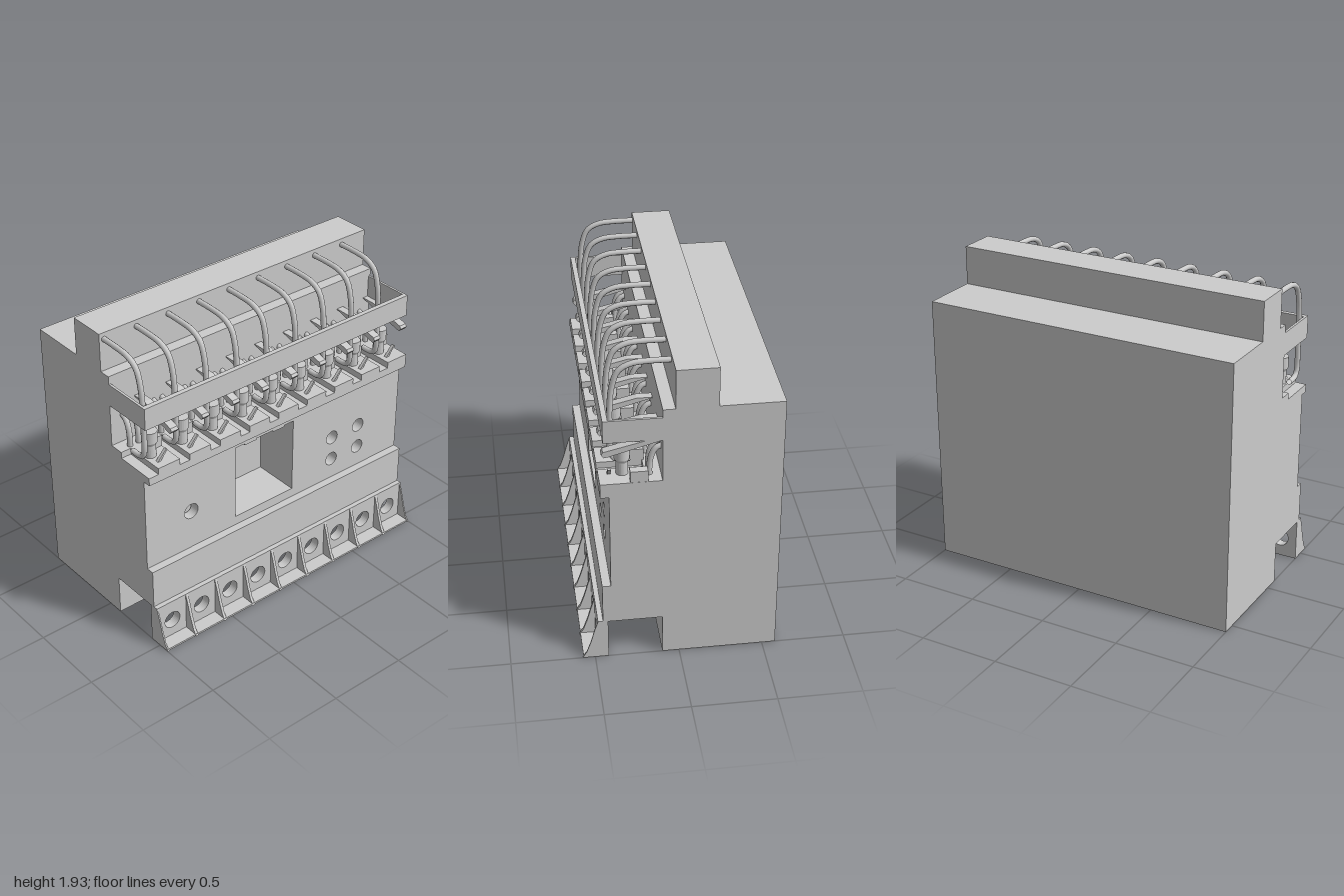
import * as THREE from 'three';

const PITCH = 0.2222, COUNT = 9;

export function createModel() {
  const model = new THREE.Group();
  const mat = new THREE.MeshStandardMaterial({ color: 0xcccccc, side: THREE.DoubleSide });

  const add = (name, geo, parent = model) => {
    const m = new THREE.Mesh(geo, mat);
    m.name = name;
    parent.add(m);
    return m;
  };
  // Box given by its limits
  const box = (name, x0, x1, y0, y1, z0, z1, parent) =>
    add(name, new THREE.BoxGeometry(x1 - x0, y1 - y0, z1 - z0), parent)
      .position.set((x0 + x1) / 2, (y0 + y1) / 2, (z0 + z1) / 2);
  const poly = (pts) => new THREE.Shape(pts.map((p) => new THREE.Vector2(...p)));
  const rect = (x0, x1, y0, y1) => poly([[x0, y0], [x1, y0], [x1, y1], [x0, y1]]);
  const circle = (x, y, r) => new THREE.Path().absarc(x, y, r, 0, Math.PI * 2, true);
  const extrude = (shape, depth) =>
    new THREE.ExtrudeGeometry(shape, { depth, bevelEnabled: false, curveSegments: 20 });
  // Profile in x,y swept along z
  const sweep = (pts, z0, z1) => extrude(poly(pts), z1 - z0).translate(0, 0, z0);
  // Panel drawn in (-z, y), from x0 to x1
  const panel = (shape, x0, x1) => extrude(shape, x1 - x0).rotateY(Math.PI / 2).translate(x0, 0, 0);
  const tube = (pts, r, parent, name) => {
    const curve = new THREE.CatmullRomCurve3(pts.map(([x, y]) => new THREE.Vector3(x, y, 0)), false, 'centripetal');
    return add(name, new THREE.TubeGeometry(curve, 32, r, 10), parent);
  };

  // Stepped housing
  add('housing', sweep([[-0.58, 0.4], [0.1, 0.4], [0.1, 1.69], [0.03, 1.69], [0.03, 1.93],
    [-0.21, 1.93], [-0.21, 1.69], [-0.58, 1.69]], -1, 1));

  // Lower housing with one open chamber per pole
  const base = rect(-0.58, 0.1, -1, 1);
  for (let i = 0; i < COUNT; i++) {
    const z = (i - 4) * PITCH, h = PITCH / 2 - 0.005;
    base.holes.push(rect(-0.57, 0.09, z - h, z + h));
  }
  add('chamberedBase', extrude(base, 0.4).rotateX(-Math.PI / 2));

  // Front panel with window and round openings
  const front = rect(-1, 1, 0.26, 1.19);
  front.holes.push(rect(-0.335, 0.115, 0.58, 1.08), circle(-0.67, 0.78, 0.05));
  for (const u of [0.44, 0.66]) for (const y of [0.66, 0.82]) front.holes.push(circle(u, y, 0.045));
  add('frontPanel', panel(front, 0.1, 0.4));
  for (const z of [0.22, 0]) box('windowTab', 0.37, 0.4, 1.07, 1.08, z - 0.045, z + 0.045);
  const button = add('button', new THREE.CylinderGeometry(0.038, 0.038, 0.25, 24).rotateZ(Math.PI / 2));
  button.position.set(0.225, 0.78, 0.67);
  box('lowerLip', 0.4, 0.45, 0.26, 0.52, -1, 1);
  box('upperLip', 0.4, 0.45, 1.14, 1.19, -1, 1);

  // Terminal shelf, slotted below each lead
  box('shelfBack', 0.1, 0.19, 1.19, 1.23, -1, 1);
  for (let i = 0; i < COUNT; i++) {
    const z = (4 - i) * PITCH + 0.08;
    box('shelfSegment', 0.19, 0.45, 1.19, 1.23, i === COUNT - 1 ? -1 : z - PITCH + 0.035, z - 0.035);
  }

  // Open guard frame above the terminals
  box('guardBar', 0.4, 0.43, 1.5, 1.64, -1, 1);
  for (const s of [-1, 1]) box('guardArm', 0.1, 0.4, 1.5, 1.64, s * 0.9925 - 0.0075, s * 0.9925 + 0.0075);

  // One terminal per pole
  const screwProfile = [[0, 0], [0.035, 0], [0.035, 0.08], [0.045, 0.1], [0.045, 0.17], [0, 0.17]]
    .map((p) => new THREE.Vector2(...p));
  for (let i = 0; i < COUNT; i++) {
    const t = new THREE.Group();
    t.name = 'terminal';
    t.position.z = (4 - i) * PITCH;
    model.add(t);

    // Bent lead from the top of the housing
    tube([[0.02, 1.89], [0.15, 1.89], [0.25, 1.88], [0.32, 1.84], [0.355, 1.75], [0.37, 1.62],
      [0.372, 1.45], [0.372, 1.32], [0.355, 1.28], [0.32, 1.268], [0.26, 1.268]], 0.017, t, 'lead')
      .position.z = 0.08;

    // Paired short leads behind the screw
    for (const z of [-0.03, 0.03]) {
      tube([[0.09, 1.415], [0.125, 1.40], [0.15, 1.36], [0.163, 1.3], [0.165, 1.22]], 0.017, t, 'shortLead')
        .position.z = z;
    }

    // Stepped screw
    const screw = add('screw', new THREE.LatheGeometry(screwProfile, 24).toNonIndexed(), t);
    screw.geometry.computeVertexNormals();
    screw.position.set(0.315, 1.23, 0);

    // Clamp block and thin slanted tongue
    box('clampBlock', 0.18, 0.28, 1.23, 1.3, -0.11, -0.06, t);
    add('tongue', panel(poly([[-0.01, 1.23], [0.01, 1.23], [0.06, 1.29], [0.05, 1.295]]), 0.38, 0.4), t);

    // Spring lever with rounded nose
    add('springLever', sweep([[0.1, 1.5], [0.19, 1.5], [0.43, 1.442], [0.44, 1.425], [0.425, 1.405],
      [0.4, 1.41], [0.1, 1.495]], -0.11, -0.06), t);
  }

  // Flared lower skirt: holed back wall, ribs and floor
  const wall = rect(-1, 1, 0, 0.265);
  for (let i = 0; i < COUNT; i++) wall.holes.push(circle((i - 4) * PITCH, 0.125, 0.056));
  add('skirtWall', panel(wall, 0.42, 0.48));
  const rib = [[0.48, 0], [0.575, 0], [0.55, 0.04], [0.525, 0.11], [0.5, 0.2], [0.48, 0.26]];
  for (let i = 0; i <= COUNT; i++) {
    const z = (i - 4.5) * PITCH;
    add('skirtRib', sweep(rib, Math.max(-1, z - 0.009), Math.min(1, z + 0.009)));
  }
  box('skirtFloor', 0.48, 0.57, 0, 0.012, -1, 1);

  return model;
}
